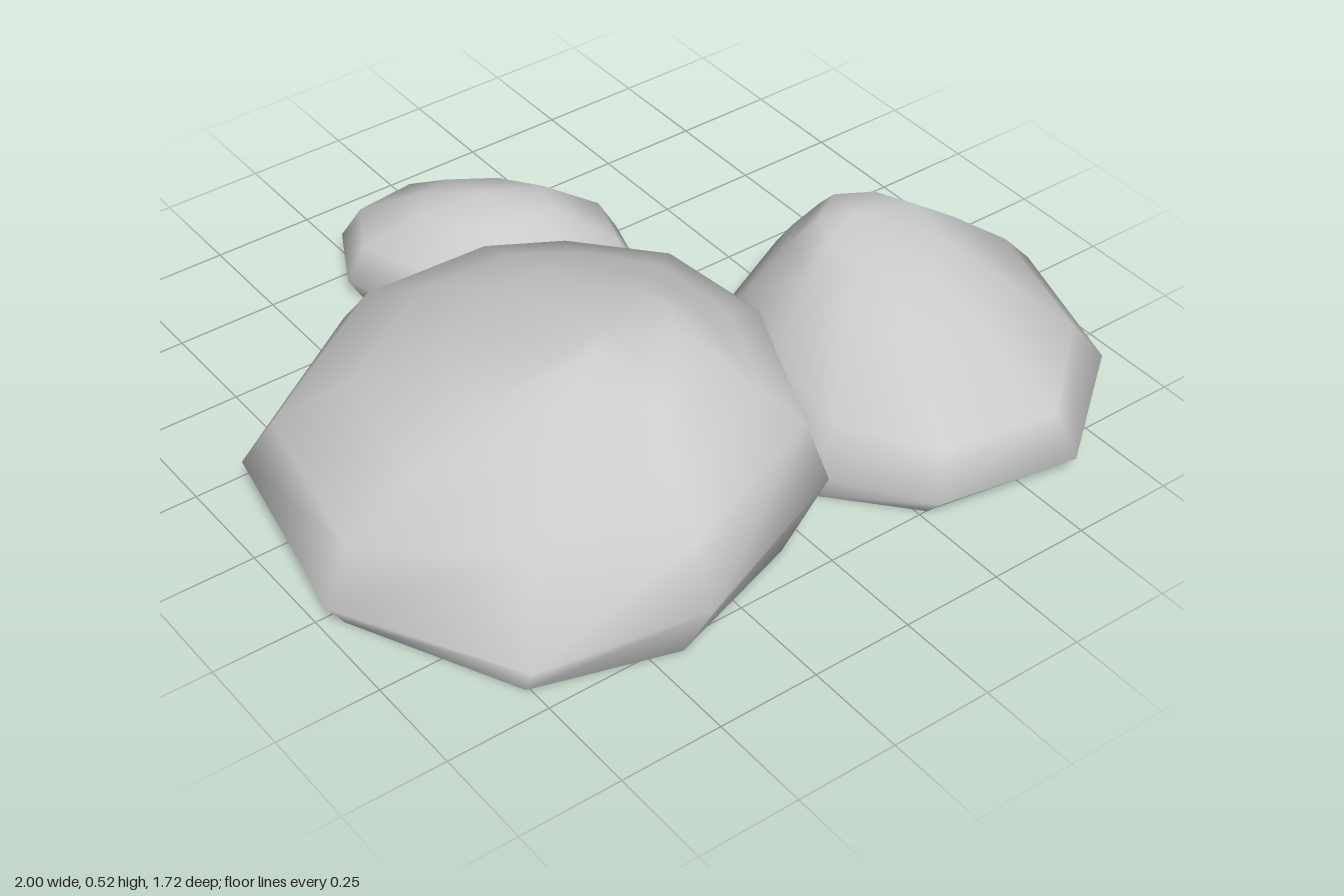
import * as THREE from 'three';

const material = new THREE.MeshStandardMaterial({ color: 0xcccccc, side: THREE.DoubleSide });

// A boulder: one plan outline refitted to stacked rings, open below.
// Outline point: [x, z, inward pull that grows with height]
// Ring: [xMin, xMax, zMin, zMax, y, rise towards +x, rise towards +z]
function boulder(name, outline, rings, apex) {
  const n = outline.length;
  const xs = outline.map((p) => p[0]);
  const zs = outline.map((p) => p[1]);
  const x0 = Math.min(...xs), x1 = Math.max(...xs);
  const z0 = Math.min(...zs), z1 = Math.max(...zs);
  const positions = [];
  const index = [];

  rings.forEach(([ax, bx, az, bz, y, riseX = 0, riseZ = 0], r) => {
    for (const [x, z, pull = 0] of outline) {
      const keep = r > 1 ? 1 - pull * r / (rings.length - 1) : 1;
      const u = ((x - x0) / (x1 - x0) - 0.5) * keep;
      const v = ((z - z0) / (z1 - z0) - 0.5) * keep;
      positions.push((ax + bx) / 2 + u * (bx - ax), y + u * riseX + v * riseZ, (az + bz) / 2 + v * (bz - az));
    }
  });
  positions.push(...apex);

  // Sides between neighbouring rings
  for (let r = 0; r < rings.length - 1; r++) {
    for (let i = 0; i < n; i++) {
      const a = r * n + i;
      const b = r * n + (i + 1) % n;
      index.push(b, a, a + n, b, a + n, b + n);
    }
  }
  // Crown
  const last = (rings.length - 1) * n;
  for (let i = 0; i < n; i++) index.push(rings.length * n, last + (i + 1) % n, last + i);

  const geometry = new THREE.BufferGeometry();
  geometry.setAttribute('position', new THREE.Float32BufferAttribute(positions, 3));
  geometry.setIndex(index);
  geometry.computeVertexNormals();
  const mesh = new THREE.Mesh(geometry, material);
  mesh.name = name;
  return mesh;
}

export function createModel() {
  const group = new THREE.Group();
  group.name = 'boulders';

  group.add(boulder('largeBoulder',
    [[-0.49, -0.43], [-0.18, -0.37], [-0.02, -0.24], [0.14, -0.01], [0.17, 0.32],
      [0.01, 0.71], [-0.4, 0.84], [-0.78, 0.73, 0.5], [-1, 0.3], [-0.91, -0.19]],
    [
      [-0.95, 0.07, -0.38, 0.78, 0],
      [-1, 0.17, -0.43, 0.845, 0.155, 0.15, -0.02],
      [-0.94, 0.13, -0.34, 0.775, 0.285, 0.14],
      [-0.79, 0.02, -0.16, 0.69, 0.39, 0.07],
      [-0.61, -0.07, 0, 0.58, 0.464, 0.03, 0.03],
      [-0.48, -0.15, 0.17, 0.47, 0.506, 0.025, 0.02],
    ],
    [-0.29, 0.514, 0.33]));

  group.add(boulder('mediumBoulder',
    [[0.53, -0.11], [0.83, 0.02], [1, 0.27], [0.9, 0.63], [0.61, 0.85],
      [0.26, 0.79], [0.08, 0.56], [0.13, 0.25], [0.23, 0.03]],
    [
      [0.1, 0.97, 0, 0.8, 0],
      [0.08, 1, -0.11, 0.86, 0.085, 0, -0.06],
      [0.14, 0.87, -0.01, 0.83, 0.215, 0.02, -0.05],
      [0.28, 0.73, 0.08, 0.59, 0.328, 0, -0.05],
      [0.38, 0.64, 0.12, 0.44, 0.384, 0, -0.026],
    ],
    [0.5, 0.398, 0.2]));

  group.add(boulder('smallBoulder',
    [[-0.25, -0.83], [-0.07, -0.86], [0.16, -0.69], [0.31, -0.46], [0.25, -0.27],
      [0.1, -0.2], [-0.1, -0.28], [-0.26, -0.41], [-0.34, -0.66]],
    [
      [-0.31, 0.28, -0.83, -0.22, 0],
      [-0.34, 0.31, -0.86, -0.2, 0.055],
      [-0.31, 0.26, -0.79, -0.25, 0.152, -0.02],
      [-0.17, 0.13, -0.67, -0.4, 0.223],
    ],
    [-0.02, 0.245, -0.55]));

  return group;
}
